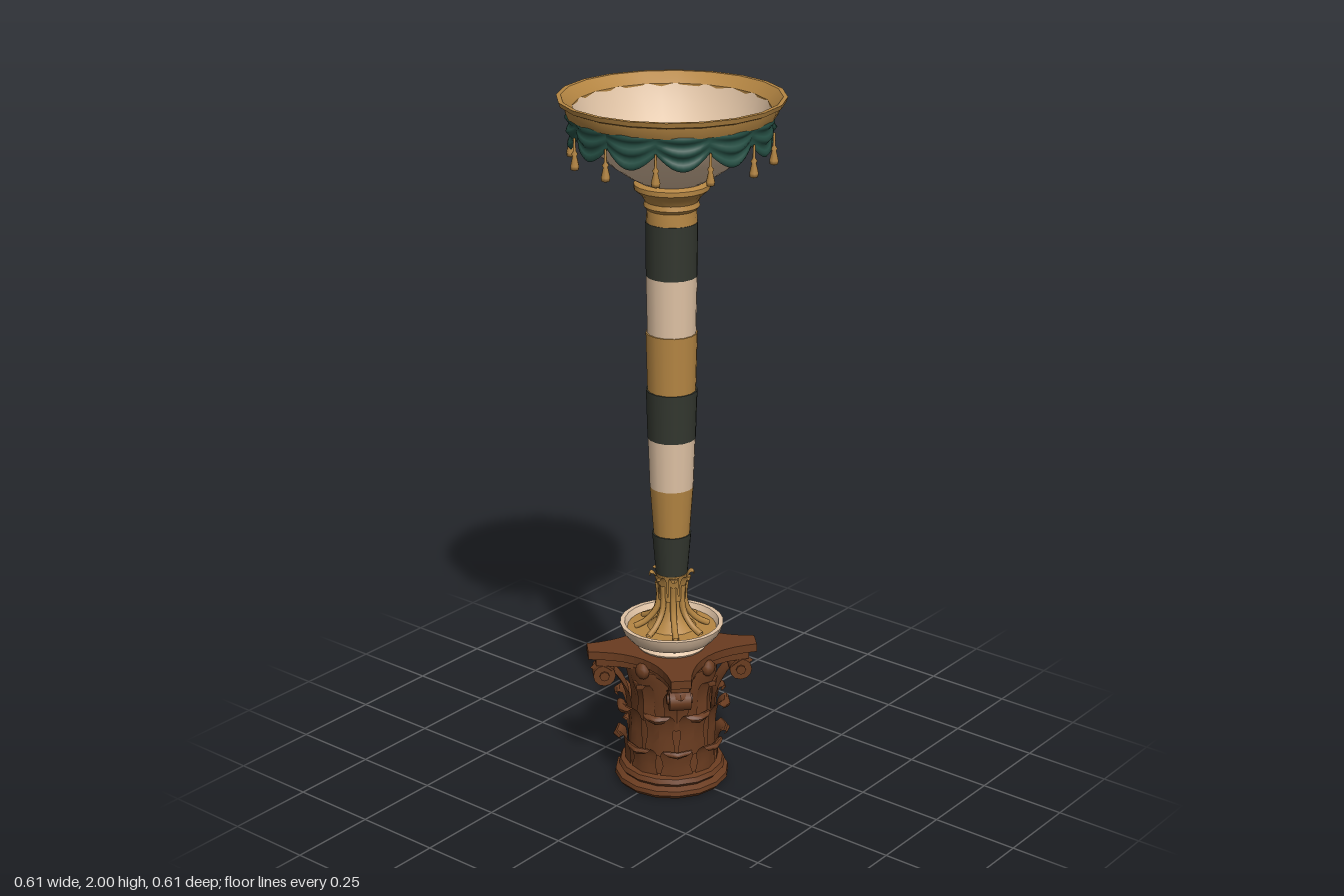
import * as THREE from 'three';
import { toCreasedNormals } from 'three/addons/utils/BufferGeometryUtils.js';

const paint = (name, color) => {
  const m = new THREE.MeshStandardMaterial({ color, side: THREE.DoubleSide });
  m.name = name;
  return m;
};

export function createModel() {
  const model = new THREE.Group();
  model.name = 'pedestalBowl';
  const brown = paint('carved brown', 0x6a3c20);
  const gold = paint('old gold', 0xb58643);
  const cream = paint('cream stone', 0xe0c3a5);
  const dark = paint('dark stone', 0x33372f);
  const green = paint('green cloth', 0x265045);

  const add = (name, geometry, material, parent = model) => {
    const mesh = new THREE.Mesh(geometry, material);
    mesh.name = name;
    parent.add(mesh);
    return mesh;
  };
  // Turned part from [radius, height] pairs, outside going up
  const turned = (name, points, material, sides = 24, parent = model) =>
    add(name, toCreasedNormals(new THREE.LatheGeometry(
      points.map(([r, y]) => new THREE.Vector2(r, y)), sides), 0.7), material, parent);
  // Calls build with a group turned to each of n directions
  const ring = (name, n, offset, build) => {
    for (let i = 0; i < n; i++) {
      const g = new THREE.Group();
      g.name = name;
      g.rotation.y = (i + offset) / n * Math.PI * 2;
      build(g);
      model.add(g);
    }
  };
  // Leaf strip following a [radius, height] path, with lobed edges and a raised rib
  const leafGeometry = (path, width, rib = 0.012) => {
    const curve = new THREE.CatmullRomCurve3(path.map(([r, y]) => new THREE.Vector3(0, y, r)));
    const g = new THREE.PlaneGeometry(2, 1, 4, 14);
    const pos = g.attributes.position;
    for (let i = 0; i < pos.count; i++) {
      const u = pos.getX(i), t = pos.getY(i) + 0.5, p = curve.getPoint(t);
      const w = width * (0.78 + 0.22 * Math.abs(Math.cos(t * Math.PI * 3))) * (1 - 0.6 * t ** 4);
      pos.setXYZ(i, u * w, p.y, p.z + rib * (1 - Math.abs(u)));
    }
    return toCreasedNormals(g, 0.6);
  };

  // Carved capital: moulded foot and bell
  turned('capitalBell', [[0, 0], [0.155, 0], [0.165, 0.012], [0.163, 0.025], [0.146, 0.033],
    [0.154, 0.043], [0.148, 0.056], [0.126, 0.062], [0.116, 0.2], [0.118, 0.28], [0.132, 0.35],
    [0.132, 0.375], [0, 0.375]], brown, 16);

  // Two rows of curled leaves, then upright leaves behind the volutes
  const lowLeaf = leafGeometry([[0.123, 0.055], [0.124, 0.1], [0.13, 0.135], [0.148, 0.15],
    [0.157, 0.138], [0.148, 0.128]], 0.047);
  ring('lowerLeaf', 8, 0, g => add('leaf', lowLeaf, brown, g));
  const midLeaf = leafGeometry([[0.118, 0.12], [0.119, 0.2], [0.128, 0.243], [0.148, 0.261],
    [0.162, 0.25], [0.152, 0.236]], 0.045);
  ring('upperLeaf', 8, 0.5, g => add('leaf', midLeaf, brown, g));
  const topLeaf = leafGeometry([[0.115, 0.22], [0.118, 0.3], [0.132, 0.34], [0.145, 0.345],
    [0.148, 0.33]], 0.035);
  ring('faceLeaf', 4, 0, g => add('leaf', topLeaf, brown, g));

  // Corner volutes on curling stalks
  const stalk = leafGeometry([[0.115, 0.2], [0.125, 0.28], [0.16, 0.34], [0.2, 0.368],
    [0.222, 0.35]], 0.04);
  const scroll = new THREE.CylinderGeometry(0.032, 0.032, 0.06, 12);
  const eye = new THREE.CylinderGeometry(0.014, 0.014, 0.072, 8);
  ring('volute', 4, 0.5, g => {
    add('stalk', stalk, brown, g);
    for (const part of [scroll, eye]) {
      const m = add('scroll', part, brown, g);
      m.rotation.z = Math.PI / 2;
      m.position.set(0, 0.337, 0.195);
    }
  });
  // Small flower on each side of the top slab
  const flower = new THREE.SphereGeometry(0.024, 8, 6);
  ring('slabFlower', 4, 0, g => {
    const m = add('flower', flower, brown, g);
    m.position.set(0, 0.378, 0.132);
    m.scale.z = 0.7;
  });

  // Top slab with hollowed sides and cut corners, in two steps
  const slab = (name, size, y, height) => {
    const s = new THREE.Shape();
    for (let i = 0; i < 4; i++) {
      const a = i * Math.PI / 2;
      const at = (x, z) => [x * Math.cos(a) - z * Math.sin(a), x * Math.sin(a) + z * Math.cos(a)]
        .map(v => v * size);
      if (i === 0) s.moveTo(...at(0.19, -0.15));
      else s.lineTo(...at(0.19, -0.15));
      s.quadraticCurveTo(...at(0.07, 0), ...at(0.19, 0.15));
    }
    s.closePath();
    const g = new THREE.ExtrudeGeometry(s, { depth: height, bevelEnabled: false, curveSegments: 10 });
    g.rotateX(-Math.PI / 2).translate(0, y, 0);
    add(name, g, brown);
  };
  slab('slabTop', 1, 0.39, 0.024);
  slab('slabUnderstep', 0.91, 0.368, 0.022);

  // Cream dish with a gold floor
  turned('dish', [[0, 0.412], [0.095, 0.412], [0.1, 0.42], [0.092, 0.428], [0.122, 0.443],
    [0.14, 0.465], [0.147, 0.487], [0.134, 0.487], [0.125, 0.468], [0, 0.462]], cream);
  turned('dishFloor', [[0.128, 0.47], [0.06, 0.473], [0, 0.475]], gold);

  // Gold foot of the shaft with splayed roots that open into leaves
  turned('shaftFoot', [[0.07, 0.472], [0.045, 0.495], [0.033, 0.54], [0.035, 0.6], [0.046, 0.64],
    [0, 0.642]], gold, 16);
  const root = new THREE.TubeGeometry(new THREE.CatmullRomCurve3(
    [[0.105, 0.475], [0.075, 0.49], [0.045, 0.525], [0.036, 0.57], [0.04, 0.61]]
      .map(([r, y]) => new THREE.Vector3(0, y, r))), 12, 0.009, 6);
  const footLeaf = leafGeometry([[0.036, 0.56], [0.04, 0.61], [0.05, 0.638], [0.06, 0.64],
    [0.061, 0.63]], 0.016, 0.004);
  ring('footLeaf', 8, 0, g => {
    add('root', root, gold, g);
    add('leaf', footLeaf, gold, g);
  });

  // Shaft bands: bottom, top, lower radius, upper radius, colour
  const bands = [
    [0.64, 0.76, 0.045, 0.055, dark], [0.76, 0.9, 0.051, 0.061, gold],
    [0.9, 1.045, 0.061, 0.066, cream], [1.045, 1.185, 0.067, 0.071, dark],
    [1.185, 1.35, 0.067, 0.071, gold], [1.35, 1.51, 0.067, 0.07, cream],
    [1.51, 1.66, 0.07, 0.071, dark],
  ];
  for (const [y0, y1, r0, r1, material] of bands) {
    const g = new THREE.CylinderGeometry(r1, r0, y1 - y0, 16);
    add('shaftBand', g, material).position.y = (y0 + y1) / 2;
  }

  // Gold collar under the bowl
  turned('collar', [[0, 1.66], [0.069, 1.66], [0.067, 1.695], [0.076, 1.705], [0.072, 1.718],
    [0.082, 1.735], [0.102, 1.752], [0.102, 1.765], [0.09, 1.772], [0, 1.772]], gold, 20);

  // Hollow bowl with a gold centre
  turned('bowl', [[0, 1.762], [0.07, 1.762], [0.12, 1.79], [0.16, 1.818], [0.195, 1.852],
    [0.225, 1.888], [0.25, 1.925], [0.268, 1.968], [0.262, 1.972], [0.243, 1.925], [0.215, 1.882],
    [0.18, 1.842], [0.135, 1.808], [0.075, 1.782], [0, 1.778]], cream, 32);
  turned('bowlCentre', [[0.074, 1.784], [0, 1.784]], gold, 24);

  // Faceted gold rim
  turned('rim', [[0.262, 1.95], [0.278, 1.952], [0.285, 1.968], [0.288, 1.982], [0.3, 1.987],
    [0.304, 2], [0.292, 2], [0.272, 1.982], [0.262, 1.972], [0.262, 1.95]], gold, 20);

  // Scalloped cloth hanging in twelve swags
  const cloth = new THREE.CylinderGeometry(1, 1, 1, 120, 10, true);
  const pos = cloth.attributes.position;
  for (let i = 0; i < pos.count; i++) {
    const x = pos.getX(i), z = pos.getZ(i), t = 0.5 - pos.getY(i);
    const sag = Math.abs(Math.sin(6 * Math.atan2(x, z)));
    const r = 0.27 + sag * (0.006 + 0.007 * Math.sin(t * Math.PI * 5)) - 0.008 * t;
    pos.setXYZ(i, x * r, 1.958 - t * (0.052 + 0.042 * sag), z * r);
  }
  cloth.computeVertexNormals();
  add('drape', cloth, green);

  // Gold tassels between the swags
  const tassel = new THREE.LatheGeometry([[0, 0], [0.011, 0.004], [0.012, 0.014], [0.006, 0.04],
    [0.009, 0.046], [0.004, 0.053], [0.003, 0.088], [0, 0.088]]
    .map(([r, y]) => new THREE.Vector2(r, y)), 8);
  ring('tassel', 12, 0, g => add('tasselDrop', tassel, gold, g).position.set(0, 1.823, 0.271));

  return model;
}
